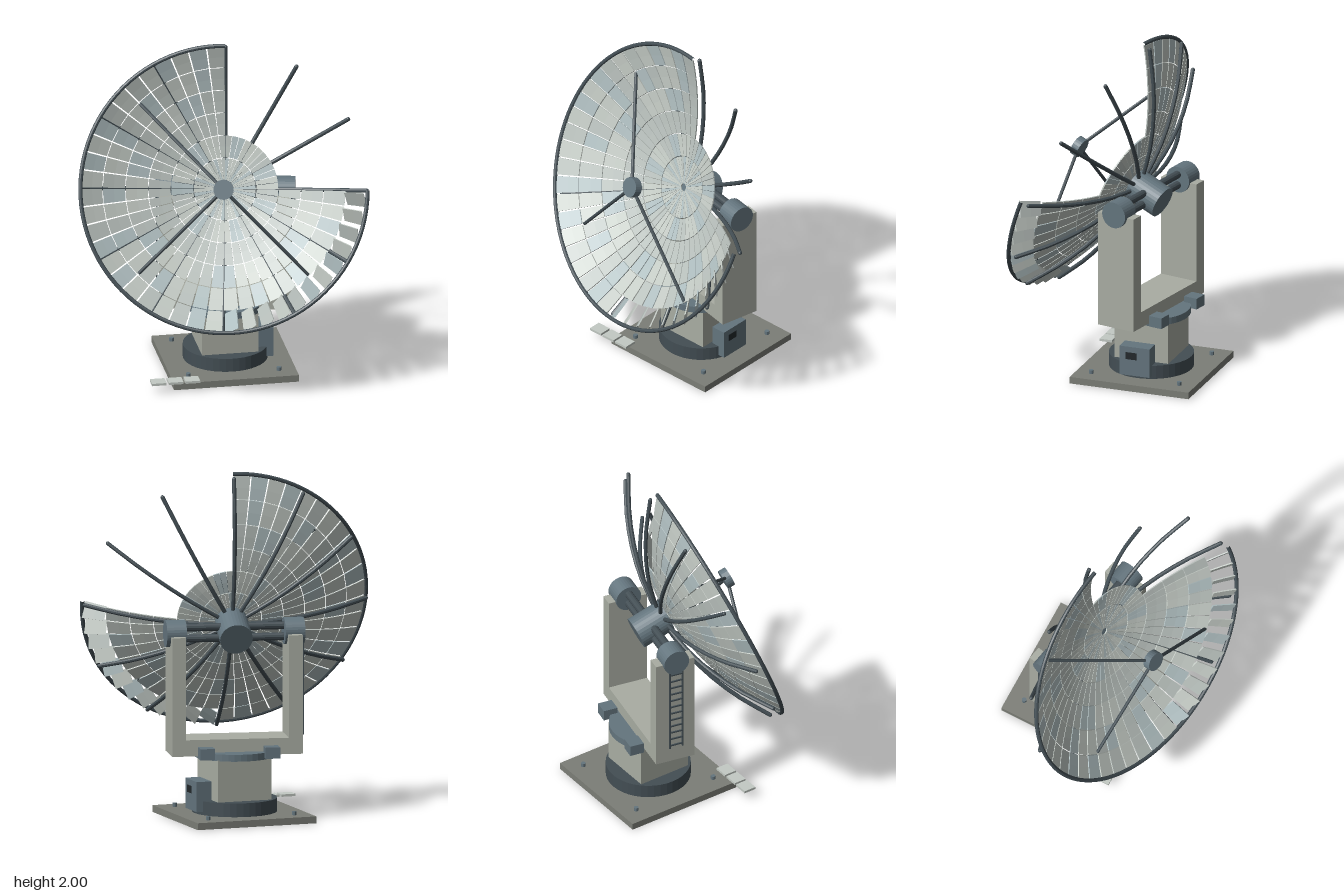
import * as THREE from 'three';
import { mergeGeometries } from 'three/addons/utils/BufferGeometryUtils.js';

const material = (color) => new THREE.MeshStandardMaterial({ color, flatShading: true });
const MAT = {
  body: material(0xa9ada3), base: material(0x7c7e77), steel: material(0x64757e),
  dark: material(0x434e54), black: material(0x22282b),
  panel: material(0xc3cac4), panelBlue: material(0xb0bfc1), panelGrey: material(0xb9c1bd),
};

function add(parent, name, geometry, mat, x = 0, y = 0, z = 0) {
  const mesh = new THREE.Mesh(geometry, mat);
  mesh.name = name;
  mesh.position.set(x, y, z);
  parent.add(mesh);
  return mesh;
}
const box = (w, h, d) => new THREE.BoxGeometry(w, h, d);
const cyl = (r, h, n = 32) => new THREE.CylinderGeometry(r, r, h, n);

// Dish frame: z is the dish axis, the dish opens toward +z
const RIM = 0.826, VERTEX = 0.13, DEPTH = 0.26, SECTORS = 48;
const RINGS = [0.02, 0.18, 0.31, 0.44, 0.57, 0.70, 0.82];
const surface = (r) => VERTEX + DEPTH * (r / RIM) ** 2;
const polar = (r, a, z) => new THREE.Vector3(r * Math.cos(a), r * Math.sin(a), z);

// Straight rod between two points
function rod(parent, name, a, b, r, mat) {
  const mesh = add(parent, name, cyl(r, a.distanceTo(b), 8), mat);
  mesh.position.copy(a).lerp(b, 0.5);
  mesh.quaternion.setFromUnitVectors(new THREE.Vector3(0, 1, 0), b.clone().sub(a).normalize());
  return mesh;
}

// One reflector panel: a thin box bent onto the paraboloid, optionally twisted like a louvre
function panelGeometry(r0, r1, angle, twist) {
  const step = (Math.PI * 2) / SECTORS;
  const g = new THREE.BoxGeometry(1, 1, 1, 1, 2, 1);
  const p = g.attributes.position;
  for (let i = 0; i < p.count; i++) {
    const r = THREE.MathUtils.lerp(r0 + 0.002, r1 - 0.002, p.getY(i) + 0.5);
    const a = angle - p.getX(i) * step * 0.92;
    const v = polar(r, a, surface(r) + p.getZ(i) * 0.008);
    p.setXYZ(i, v.x, v.y, v.z);
  }
  if (twist) {
    const c = polar((r0 + r1) / 2, angle, surface((r0 + r1) / 2));
    const axis = polar(r1, angle, surface(r1)).sub(polar(r0, angle, surface(r0))).normalize();
    g.translate(-c.x, -c.y, -c.z);
    g.applyMatrix4(new THREE.Matrix4().makeRotationAxis(axis, twist));
    g.translate(c.x, c.y, c.z);
  }
  g.computeVertexNormals();
  return g;
}

function buildReflector() {
  const group = new THREE.Group();
  group.name = 'reflector';
  const sets = { panel: [], panelBlue: [], panelGrey: [] };
  for (let ring = 0; ring < RINGS.length - 1; ring++) {
    for (let s = 0; s < SECTORS; s++) {
      // A quarter of the outer panels is gone; the next quarter has a loose outer row
      if (ring >= 2 && s < SECTORS / 4) continue;
      const loose = ring === 5 && s >= SECTORS * 0.75;
      const h = (s * 37 + ring * 61 + s * ring * 13) % 7;
      const key = h < 2 ? 'panelBlue' : h < 4 ? 'panelGrey' : 'panel';
      const angle = ((s + 0.5) / SECTORS) * Math.PI * 2;
      sets[key].push(panelGeometry(RINGS[ring], RINGS[ring + 1], angle, loose ? 0.65 : 0));
    }
  }
  for (const key in sets) add(group, 'reflectorPanels', mergeGeometries(sets[key]), MAT[key]);

  // Rim over three quarters of the circle
  const rim = add(group, 'rim', new THREE.TorusGeometry(RIM, 0.012, 8, 72, Math.PI * 1.5), MAT.dark, 0, 0, surface(RIM));
  rim.rotation.z = Math.PI / 2;

  // Twelve curved ribs behind the panels
  for (let i = 0; i < 12; i++) {
    const a = (i * Math.PI) / 6;
    const points = [0.06, 0.25, 0.44, 0.63, 0.82].map((r) => polar(r, a, surface(r) - 0.045));
    const curve = new THREE.CatmullRomCurve3(points);
    add(group, 'rib', new THREE.TubeGeometry(curve, 8, 0.012, 8), MAT.dark);
    for (const end of [points[0], points[4]]) {
      add(group, 'ribEnd', new THREE.SphereGeometry(0.012, 8, 6), MAT.dark, end.x, end.y, end.z);
    }
  }

  // Feed and its three struts
  add(group, 'feed', cyl(0.058, 0.045, 24), MAT.steel, 0, 0, 0.525).rotation.x = Math.PI / 2;
  for (const deg of [135, 225, 315]) {
    const a = THREE.MathUtils.degToRad(deg);
    rod(group, 'feedStrut', polar(0.04, a, 0.515), polar(0.69, a, surface(0.69)), 0.01, MAT.dark);
  }

  // Hub behind the dish
  add(group, 'hub', cyl(0.095, 0.2), MAT.steel, 0, 0, 0.015).rotation.x = Math.PI / 2;
  return group;
}

function buildYoke() {
  const yoke = new THREE.Group();
  yoke.name = 'yoke';
  add(yoke, 'turntable', cyl(0.23, 0.04, 40), MAT.steel, 0, 0.38, 0);
  add(yoke, 'yokeBase', box(0.76, 0.095, 0.24), MAT.body, 0, 0.4275, 0);
  for (const side of [-1, 1]) {
    add(yoke, 'yokeArm', box(0.08, 0.69, 0.24), MAT.body, side * 0.34, 0.725, 0);
    add(yoke, 'trunnion', cyl(0.078, 0.115), MAT.steel, side * 0.345, 1.08, 0).rotation.z = Math.PI / 2;
    add(yoke, 'driveMotor', box(0.085, 0.065, 0.085), MAT.steel, side * 0.19, 0.403, -0.175);
    add(yoke, 'axle', cyl(0.023, 0.62, 12), MAT.dark, 0, 1.08 + side * 0.032, 0).rotation.z = Math.PI / 2;
  }

  // Ladder on the outside of the right arm
  const x = -0.395;
  for (const z of [-0.04, 0.04]) add(yoke, 'ladderRail', box(0.008, 0.54, 0.008), MAT.dark, x, 0.75, z);
  for (let i = 0; i < 12; i++) add(yoke, 'ladderRung', box(0.008, 0.008, 0.08), MAT.dark, x, 0.5 + i * 0.045, 0);

  const reflector = buildReflector();
  reflector.position.y = 1.08;
  reflector.rotation.x = THREE.MathUtils.degToRad(-22);
  yoke.add(reflector);
  return yoke;
}

export function createModel() {
  const model = new THREE.Group();
  model.name = 'dishAntenna';

  // Fixed pedestal
  const pedestal = new THREE.Group();
  pedestal.name = 'pedestal';
  pedestal.position.set(0.067, 0, -0.172);
  add(pedestal, 'basePlate', box(0.73, 0.04, 0.73), MAT.base, 0, 0.02, 0);
  add(pedestal, 'baseRing', cyl(0.245, 0.08, 40), MAT.dark, 0, 0.08, 0);
  add(pedestal, 'column', box(0.33, 0.25, 0.33), MAT.body, 0, 0.24, 0);
  for (const sx of [-1, 1]) for (const sz of [-1, 1]) {
    add(pedestal, 'anchorBolt', cyl(0.014, 0.022, 8), MAT.steel, sx * 0.265, 0.05, sz * 0.27);
  }
  model.add(pedestal);

  // Control cabinet on the left side of the column
  add(model, 'cabinet', box(0.09, 0.175, 0.185), MAT.steel, 0.288, 0.146, -0.168);
  add(model, 'cabinetWindow', box(0.006, 0.042, 0.065), MAT.black, 0.333, 0.178, -0.147);

  // Loose panels lying by the front corner
  for (let i = 0; i < 3; i++) {
    add(model, 'loosePanel', box(0.085, 0.014, 0.075), MAT.panel, -0.39 + i * 0.098, 0.057, 0.193);
  }

  const yoke = buildYoke();
  yoke.position.set(0.067, 0, -0.168);
  yoke.rotation.y = -0.2;
  model.add(yoke);
  return model;
}
